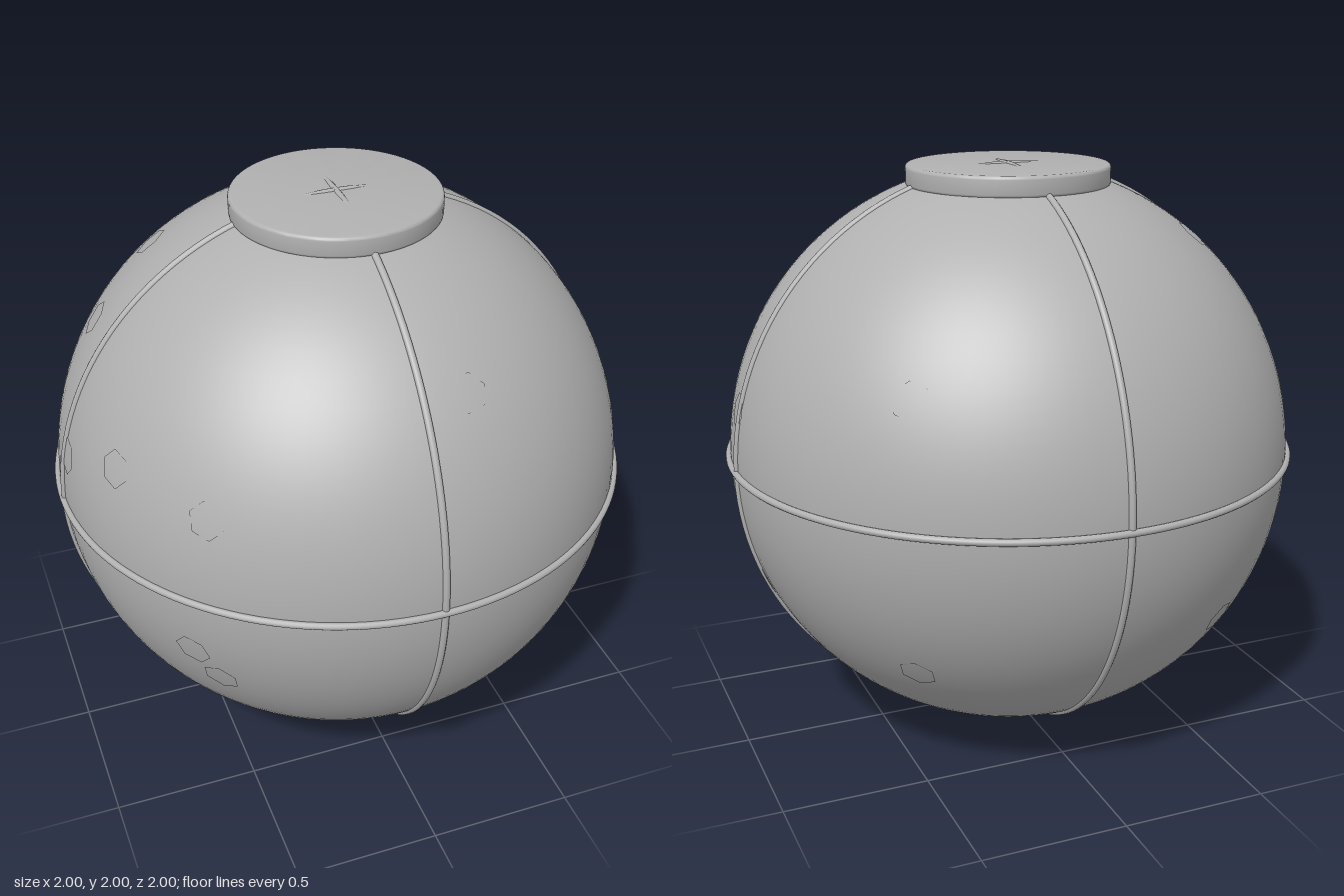
import * as THREE from 'three';
import { toCreasedNormals } from 'three/addons/utils/BufferGeometryUtils.js';

export function createModel() {
  const model = new THREE.Group();
  const grey = new THREE.MeshStandardMaterial({ color: 0xb0b0b0 });
  grey.name = 'plain grey';
  const R = 0.983, CY = 1.005;

  const add = (name, geometry, y = CY) => {
    const mesh = new THREE.Mesh(geometry, grey);
    mesh.name = name;
    mesh.position.y = y;
    model.add(mesh);
    return mesh;
  };

  // Body
  add('ball', new THREE.SphereGeometry(R, 96, 64));

  // Raised seams: one around the middle, two over the poles
  add('equatorSeam', new THREE.TorusGeometry(0.988, 0.012, 12, 128)).rotation.x = Math.PI / 2;
  add('sideSeam', new THREE.TorusGeometry(0.982, 0.012, 12, 128));
  add('frontSeam', new THREE.TorusGeometry(0.982, 0.012, 12, 128)).rotation.y = Math.PI / 2;

  // Discs with softly rounded rims
  const disc = (radius, height, round) => {
    const points = [new THREE.Vector2(0, 0)];
    for (const [cy, start] of [[round, -Math.PI / 2], [height - round, 0]]) {
      for (let i = 0; i <= 4; i++) {
        const a = start + (i / 4) * Math.PI / 2;
        points.push(new THREE.Vector2(radius - round + round * Math.cos(a), cy + round * Math.sin(a)));
      }
    }
    points.push(new THREE.Vector2(0, height));
    return toCreasedNormals(new THREE.LatheGeometry(points, 64), 0.5);
  };
  add('topCap', disc(0.35, 0.072, 0.012), 1.92);
  add('bottomFoot', disc(0.225, 0.06, 0.01), 0);

  // Shallow six-sided scales scattered over the ball, as directions from its centre
  const spots = [
    [-0.66, 0.30, 0.67], [-0.87, 0.33, 0.35], [0.15, 0.63, 0.75], [-0.72, -0.23, 0.63],
    [-0.64, -0.35, 0.66], [0.93, -0.03, 0.31], [0.89, -0.40, 0.18], [0.90, -0.40, 0],
    [0.96, 0.21, 0.03], [0.60, 0.40, -0.69], [0.56, -0.54, -0.60], [-0.47, -0.47, -0.74],
    [-0.78, 0.56, -0.20], [-0.55, 0.75, -0.30], [-0.96, 0.20, 0.04], [-0.94, -0.11, -0.32],
    [-0.96, -0.23, -0.14], [-0.74, -0.66, -0.13],
  ];
  const up = new THREE.Vector3(0, 1, 0);
  const scale = new THREE.SphereGeometry(R + 0.003, 6, 2, 0, Math.PI * 2, 0, 0.065);
  spots.forEach((spot, i) => {
    const mesh = add('scale' + (i + 1), scale);
    mesh.quaternion.setFromUnitVectors(up, new THREE.Vector3(...spot).normalize());
    mesh.rotateY(i * 0.7);
  });

  return model;
}
